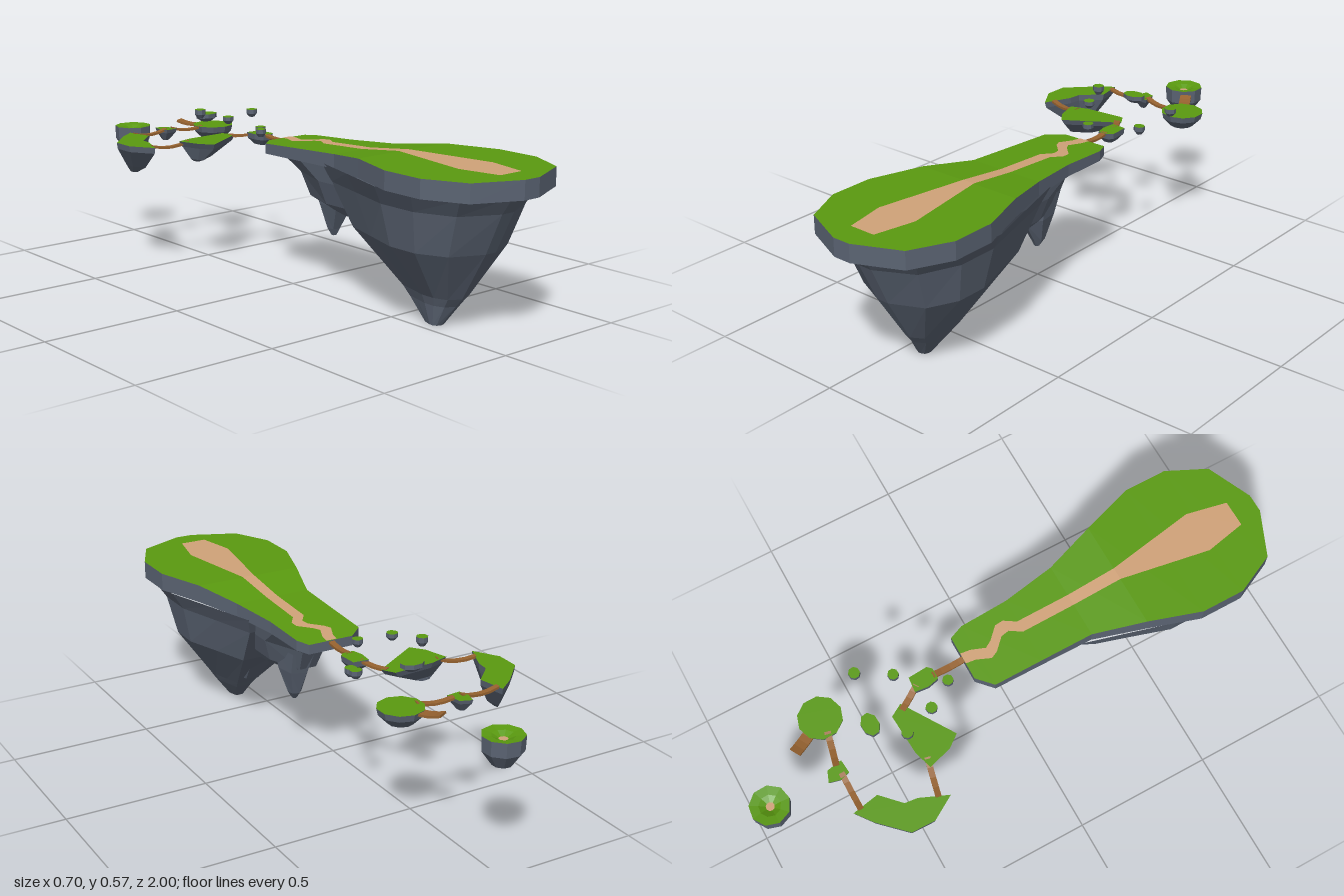
import * as THREE from 'three';

const flat = (name, color, side = THREE.FrontSide) =>
  new THREE.MeshStandardMaterial({ name, color, flatShading: true, side });

export function createModel() {
  const model = new THREE.Group();
  model.name = 'floatingIslands';
  const rock = flat('slate rock', 0x5b6473);
  const grass = flat('grass green', 0x5a9a10);
  const dirt = flat('path tan', 0xd0a278, THREE.DoubleSide);
  const wood = flat('bridge wood', 0x96622f);

  function add(parent, name, tris, material) {
    const g = new THREE.BufferGeometry();
    g.setAttribute('position', new THREE.Float32BufferAttribute(tris.flat(2), 3));
    g.computeVertexNormals();
    const m = new THREE.Mesh(g, material);
    m.name = name;
    parent.add(m);
  }

  // Fills a ring of [x, y, z] points, facing up (dir 1) or down (dir -1)
  function cap(ring, dir) {
    const pts = ring.map(p => new THREE.Vector2(p[0], p[2]));
    return THREE.ShapeUtils.triangulateShape(pts, []).map(([i, j, k]) => {
      const [a, b, c] = [ring[i], ring[j], ring[k]];
      const up = (b[2] - a[2]) * (c[0] - a[0]) - (b[0] - a[0]) * (c[2] - a[2]);
      return up * dir > 0 ? [a, b, c] : [a, c, b];
    });
  }

  // Skins rings from top to bottom and closes the underside
  function loft(rings, closed = true) {
    const first = rings[0], n = first.length;
    const area = first.reduce((s, p, i) => {
      const q = first[(i + 1) % n];
      return s + p[0] * q[2] - q[0] * p[2];
    }, 0);
    const tris = [];
    for (let r = 0; r < rings.length - 1; r++) {
      for (let i = 0; i < n; i++) {
        const j = (i + 1) % n;
        const a = rings[r][i], b = rings[r][j], c = rings[r + 1][i], d = rings[r + 1][j];
        tris.push(...(area > 0 ? [[a, b, c], [b, d, c]] : [[a, c, b], [b, c, d]]));
      }
    }
    return closed ? [...tris, ...cap(rings[rings.length - 1], -1)] : tris;
  }

  // Upward-facing strip from [z, xLeft, xRight] stations
  function strip(stations, y) {
    const tris = [];
    for (let i = 0; i < stations.length - 1; i++) {
      const [z, l, r] = stations[i], [z2, l2, r2] = stations[i + 1];
      const a = [l, y(z), z], b = [r, y(z), z], c = [l2, y(z2), z2], d = [r2, y(z2), z2];
      tris.push([a, c, b], [c, d, b]);
    }
    return tris;
  }

  const outlineOf = s => [...s.map(([z, l]) => [l, z]), ...s.map(([z, , r]) => [r, z]).reverse()];

  // Fits an outline into a list of boxes [y, x0, x1, z0, z1]
  function boxedRings(outline, boxes) {
    const xs = outline.map(p => p[0]), zs = outline.map(p => p[1]);
    const x0 = Math.min(...xs), z0 = Math.min(...zs);
    const w = Math.max(...xs) - x0, d = Math.max(...zs) - z0;
    return boxes.map(([y, a, b, c, e]) =>
      outline.map(([x, z]) => [a + (x - x0) / w * (b - a), y, c + (z - z0) / d * (e - c)]));
  }

  const ngon = (cx, cz, rx, rz, n, turn = 0.3) => Array.from({ length: n }, (_, i) => {
    const t = turn + i / n * Math.PI * 2;
    return [cx + Math.cos(t) * rx, cz + Math.sin(t) * rz];
  });

  // Main island: grass and rim share these stations
  const stations = [
    [-0.145, 0.01, 0.175], [-0.095, -0.045, 0.195], [0.08, -0.047, 0.2], [0.27, -0.05, 0.23],
    [0.45, -0.107, 0.288], [0.635, -0.167, 0.35], [0.79, -0.167, 0.35], [0.93, -0.1, 0.283], [1, 0.06, 0.125],
  ];
  const slope = (back, mid, front) => z => z >= 0.45 ? front
    : z >= 0.27 ? mid + (front - mid) * (z - 0.27) / 0.18
      : back + (mid - back) * (z + 0.145) / 0.415;
  const topY = slope(0.49, 0.512, 0.533), rimY = slope(0.456, 0.463, 0.47);

  const main = new THREE.Group();
  main.name = 'mainIsland';
  model.add(main);
  add(main, 'mainGrass', strip(stations, topY), grass);
  const edge = outlineOf(stations);
  add(main, 'mainRim', loft([
    edge.map(([x, z]) => [x, topY(z), z]),
    edge.map(([x, z]) => [x, rimY(z), z]),
  ]), rock);

  // Winding path that widens towards the front
  add(main, 'path', strip([
    [-0.145, 0.07, 0.11], [-0.11, 0.065, 0.105], [-0.06, 0.043, 0.085], [-0.035, 0.055, 0.1], [0.005, 0.095, 0.14],
    [0.035, 0.1, 0.142], [0.075, 0.073, 0.115], [0.27, 0.072, 0.113], [0.45, 0.07, 0.115],
    [0.77, 0.015, 0.17], [0.915, 0.045, 0.14],
  ], z => topY(z) + 0.002), dirt);

  // Hanging rock under the main island
  add(main, 'rockCone', loft(boxedRings(outlineOf(stations.slice(3)), [
    [0.472, -0.155, 0.338, 0.2, 0.955], [0.41, -0.12, 0.3, 0.23, 0.91], [0.27, -0.09, 0.27, 0.32, 0.845],
    [0.1, 0.02, 0.155, 0.5, 0.74], [0.07, 0.03, 0.137, 0.53, 0.715], [0, 0.04, 0.087, 0.606, 0.668],
  ])), rock);
  add(main, 'rockNeck', loft(boxedRings(ngon(0, 0, 1, 1, 8, Math.PI / 8), [
    [0.462, -0.035, 0.19, -0.125, 0.55], [0.4, -0.025, 0.18, 0, 0.55],
    [0.32, 0, 0.155, 0.04, 0.5], [0.285, 0.03, 0.13, 0.15, 0.47],
  ])), rock);
  add(main, 'rockSpike', loft(boxedRings(ngon(0, 0, 1, 1, 6), [
    [0.38, 0.02, 0.15, 0.01, 0.21], [0.3, 0.04, 0.14, 0.045, 0.19],
    [0.21, 0.07, 0.115, 0.085, 0.135], [0.185, 0.082, 0.1, 0.105, 0.122],
  ])), rock);
  add(main, 'rockShoulder', loft(boxedRings(ngon(0, 0, 1, 1, 6, 0.1), [
    [0.32, -0.01, 0.18, 0.28, 0.62], [0.25, 0.01, 0.16, 0.34, 0.62],
    [0.135, 0.04, 0.13, 0.44, 0.6], [0.11, 0.05, 0.11, 0.51, 0.6],
  ])), rock);

  // Small island: outline, top height, then layers [y, scale, centreX, centreZ]
  function islet(name, outline, y, layers, covered = true) {
    const g = new THREE.Group();
    g.name = name;
    model.add(g);
    const mid = [0, 1].map(k => outline.reduce((s, p) => s + p[k], 0) / outline.length);
    const top = outline.map(([x, z]) => [x, y, z]);
    const rings = layers.map(([ly, s, cx = mid[0], cz = mid[1]]) =>
      outline.map(([x, z]) => [cx + (x - mid[0]) * s, ly, cz + (z - mid[1]) * s]));
    add(g, name + 'Rock', loft([top, ...rings]), rock);
    if (covered) add(g, name + 'Grass', cap(top, 1), grass);
    return g;
  }

  islet('stepIslet', [[0.065, -0.34], [0.12, -0.335], [0.125, -0.265], [0.11, -0.25], [0.07, -0.25], [0.06, -0.29]],
    0.485, [[0.465, 0.95], [0.445, 0.5]]);
  islet('wedgeIslet', [[-0.185, -0.415], [-0.12, -0.435], [0.03, -0.445], [0.057, -0.4], [-0.125, -0.285], [-0.16, -0.33]],
    0.47, [[0.45, 0.88], [0.405, 0.35, -0.115, -0.38], [0.395, 0.15, -0.12, -0.39]]);
  islet('crescentIslet', [[-0.348, -0.57], [-0.26, -0.66], [-0.2, -0.705], [-0.182, -0.61], [-0.25, -0.545],
    [-0.255, -0.5], [-0.298, -0.4], [-0.35, -0.485]],
    0.462, [[0.44, 0.96], [0.375, 0.5, -0.265, -0.57], [0.347, 0.17, -0.27, -0.58]]);
  islet('roundIslet', ngon(0.145, -0.655, 0.077, 0.077, 10), 0.462, [[0.44, 0.93], [0.41, 0.55], [0.4, 0.25]]);
  islet('linkIslet', [[-0.07, -0.73], [-0.03, -0.715], [-0.02, -0.66], [-0.07, -0.655], [-0.08, -0.69]],
    0.463, [[0.45, 0.9], [0.42, 0.3]]);

  // Far island with a shallow hollow on top
  const farEdge = ngon(-0.037, -0.932, 0.069, 0.069, 9);
  const far = islet('farIslet', farEdge, 0.44, [[0.39, 0.97], [0.342, 0.48]], false);
  const ringAt = (s, y) => farEdge.map(([x, z]) => [-0.037 + (x + 0.037) * s, y, -0.932 + (z + 0.932) * s]);
  const bowl = loft([ringAt(1, 0.44), ringAt(0.55, 0.436), ringAt(0.22, 0.425)], false);
  add(far, 'farGrass', bowl.map(([a, b, c]) => [a, c, b]), grass);
  add(far, 'farDirt', cap(ringAt(0.22, 0.425), 1), dirt);

  // Floating stepping stones: x, z, radiusX, radiusZ, top height, thickness
  [
    [0.02, -0.525, 0.042, 0.03, 0.535, 0.028], [0.205, -0.49, 0.021, 0.02, 0.535, 0.028],
    [0.155, -0.375, 0.02, 0.019, 0.49, 0.03], [0.04, -0.228, 0.019, 0.019, 0.515, 0.028],
    [-0.032, -0.325, 0.02, 0.02, 0.555, 0.025], [-0.075, -0.435, 0.02, 0.02, 0.571, 0.032],
  ].forEach(([x, z, rx, rz, y, h], i) =>
    islet('steppingStone' + (i + 1), ngon(x, z, rx, rz, 8), y, [[y - h * 0.55, 1], [y - h, 0.5]]));

  // Sagging plank bridges: start, end, sag, width
  [
    [[0.09, 0.486, -0.13], [0.09, 0.482, -0.26], 0.008, 0.022],
    [[0.085, 0.482, -0.325], [0.035, 0.468, -0.405], 0.006, 0.022],
    [[-0.15, 0.468, -0.408], [-0.285, 0.46, -0.438], 0.012, 0.02],
    [[-0.2, 0.461, -0.678], [-0.06, 0.463, -0.678], 0.012, 0.02],
    [[-0.03, 0.463, -0.682], [0.09, 0.46, -0.655], 0.01, 0.022],
    [[0.12, 0.458, -0.7], [0.075, 0.468, -0.78], 0.006, 0.04],
  ].forEach(([a, b, sag, width], i) => {
    const p = new THREE.Vector3(...a), q = new THREE.Vector3(...b);
    const g = new THREE.BoxGeometry(width, 0.008, p.distanceTo(q), 1, 1, 4);
    const pos = g.attributes.position, len = p.distanceTo(q);
    for (let k = 0; k < pos.count; k++) {
      const t = pos.getZ(k) / len * 2;
      pos.setY(k, pos.getY(k) - sag * (1 - t * t));
    }
    g.computeVertexNormals();
    const bridge = new THREE.Mesh(g, wood);
    bridge.name = 'bridge' + (i + 1);
    bridge.position.copy(p).add(q).multiplyScalar(0.5);
    bridge.lookAt(q);
    model.add(bridge);
  });

  return model;
}
